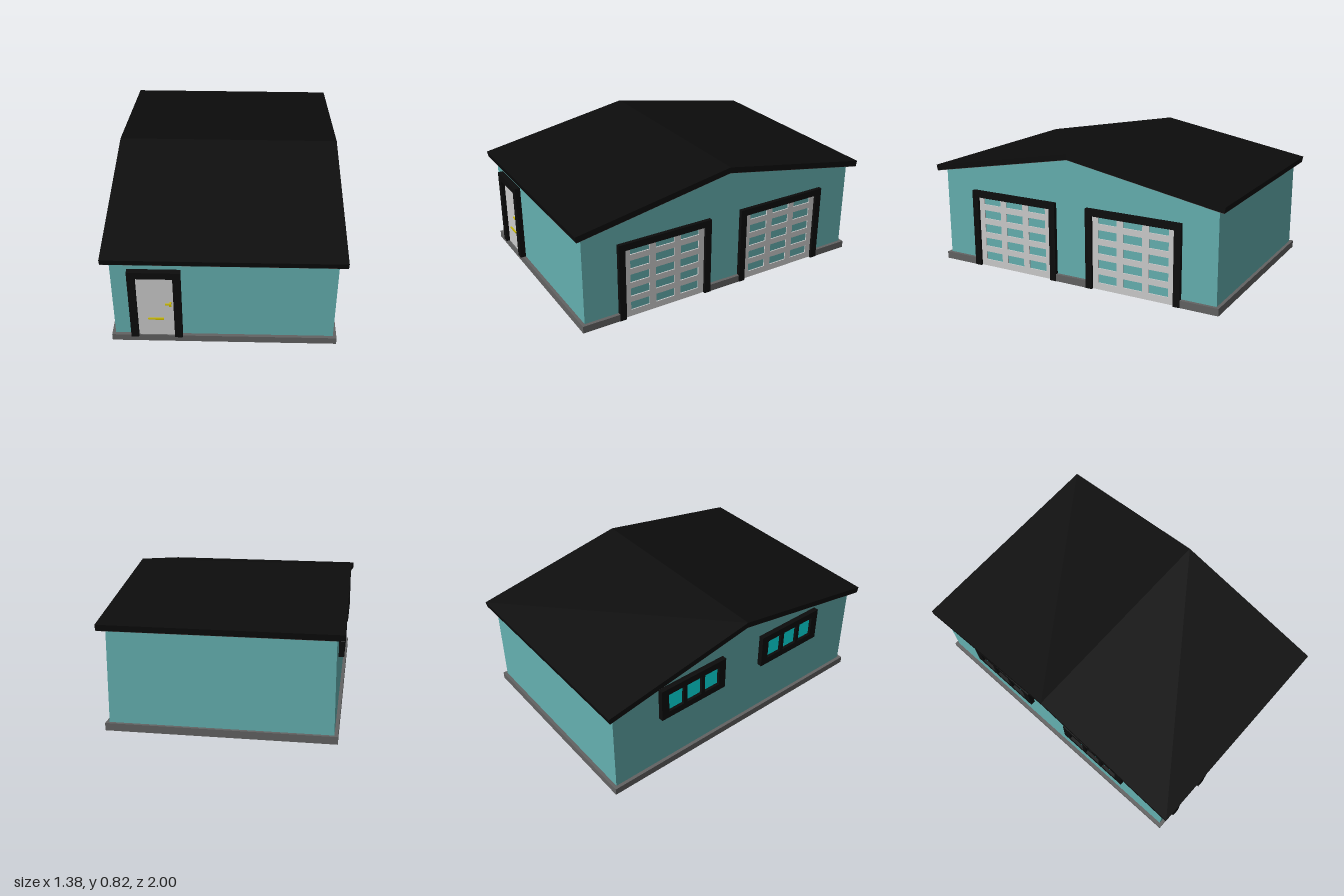
import * as THREE from 'three';

const mat = (color) => new THREE.MeshStandardMaterial({ color });
const M = {
  wall: mat(0x64b0b0), base: mat(0x626262), trim: mat(0x0c0c0c),
  door: mat(0xcccccc), brass: mat(0xccbb00), glass: mat(0x00f0f0),
};

function add(parent, name, geometry, material) {
  const mesh = new THREE.Mesh(geometry, material);
  mesh.name = name;
  parent.add(mesh);
  return mesh;
}

// Box given by its min and max corners
function box(parent, name, material, [x0, y0, z0], [x1, y1, z1]) {
  const g = new THREE.BoxGeometry(x1 - x0, y1 - y0, z1 - z0);
  g.translate((x0 + x1) / 2, (y0 + y1) / 2, (z0 + z1) / 2);
  return add(parent, name, g, material);
}

const polygon = (pts) => new THREE.Shape(pts.map(([x, y]) => new THREE.Vector2(x, y)));
const extrude = (shape, depth) => new THREE.ExtrudeGeometry(shape, { depth, bevelEnabled: false });
const rectPath = (x0, y0, x1, y1) =>
  new THREE.Path([[x0, y0], [x0, y1], [x1, y1], [x1, y0]].map(([x, y]) => new THREE.Vector2(x, y)));

// Profile drawn in (-z, y), extruded along x and centred
const alongX = (pts, length) => {
  const g = extrude(polygon(pts), length);
  g.translate(0, 0, -length / 2);
  return g.rotateY(Math.PI / 2);
};

// Door surround: two posts and a lintel in one piece, open at the bottom
const surround = (halfW, bottom, top, border, depth) => {
  const i = halfW - border;
  return extrude(polygon([
    [-halfW, bottom], [-i, bottom], [-i, top - border], [i, top - border],
    [i, bottom], [halfW, bottom], [halfW, top], [-halfW, top],
  ]), depth);
};

// Sectional garage door, built facing +z about its own centre line
function garageDoor() {
  const group = new THREE.Group();
  group.name = 'garageDoor';
  add(group, 'garageDoorFrame', surround(0.312, 0, 0.5, 0.042, 0.04), M.trim).position.z = -0.015;
  box(group, 'garageDoorBack', M.door, [-0.27, 0, -0.015], [0.27, 0.46, 0]);
  const face = polygon([[-0.27, 0], [0.27, 0], [0.27, 0.46], [-0.27, 0.46]]);
  for (let row = 0; row < 5; row++) {
    for (let col = -1; col <= 1; col++) {
      const x = col * 0.169, y = 0.07 + row * 0.0925;
      face.holes.push(rectPath(x - 0.063, y - 0.027, x + 0.063, Math.min(y + 0.027, 0.458)));
    }
  }
  add(group, 'garageDoorPanels', extrude(face, 0.008), M.door);
  return group;
}

// Three-pane window, built facing +z about its own centre
function sideWindow() {
  const group = new THREE.Group();
  group.name = 'sideWindow';
  const frame = polygon([[-0.24, -0.11], [0.24, -0.11], [0.24, 0.11], [-0.24, 0.11]]);
  for (let i = -1; i <= 1; i++) {
    const x = i * 0.134;
    frame.holes.push(rectPath(x - 0.055, -0.065, x + 0.055, 0.065));
    box(group, 'windowPane', M.glass, [x - 0.055, -0.065, 0], [x + 0.055, 0.065, 0.015]);
  }
  add(group, 'windowFrame', extrude(frame, 0.033), M.trim);
  return group;
}

export function createModel() {
  const house = new THREE.Group();
  house.name = 'garage';

  // Plinth, notched where the garage doors reach the ground
  const plinth = polygon([
    [-0.667, -0.97], [0.667, -0.97],
    [0.667, -0.7], [0.645, -0.7], [0.645, -0.14], [0.667, -0.14],
    [0.667, 0.14], [0.645, 0.14], [0.645, 0.7], [0.667, 0.7],
    [0.667, 0.97], [-0.667, 0.97],
  ]);
  add(house, 'plinth', extrude(plinth, 0.045).rotateX(-Math.PI / 2), M.base);

  // Walls with gable ends
  add(house, 'walls', alongX([
    [-0.95, 0.04], [0.95, 0.04], [0.95, 0.613], [0, 0.786], [-0.95, 0.613],
  ], 1.292), M.wall);

  // Pitched roof slab and the lining beneath it
  add(house, 'roof', alongX([
    [-0.993, 0.604], [0, 0.784], [0.993, 0.604], [1, 0.64], [0, 0.82], [-1, 0.64],
  ], 1.38), M.trim);
  add(house, 'soffit', alongX([
    [-0.992, 0.602], [0, 0.782], [0.992, 0.602], [0.992, 0.606], [0, 0.786], [-0.992, 0.606],
  ], 1.378), M.base);

  // Garage doors on the +x wall, windows on the -x wall
  for (const s of [-1, 1]) {
    const door = garageDoor();
    door.position.set(0.645, 0, s * 0.42);
    door.rotation.y = Math.PI / 2;
    house.add(door);

    const win = sideWindow();
    win.position.set(-0.645, 0.51, s * 0.39);
    win.rotation.y = -Math.PI / 2;
    house.add(win);
  }

  // Entrance door with handle, lock and letter slot
  const entrance = new THREE.Group();
  entrance.name = 'entrance';
  entrance.position.set(-0.397, 0, 0.95);
  add(entrance, 'entranceFrame', surround(0.152, 0.045, 0.54, 0.045, 0.035), M.trim);
  box(entrance, 'entranceDoor', M.door, [-0.107, 0.045, -0.01], [0.107, 0.495, 0.012]);
  box(entrance, 'handleStem', M.brass, [0.083, 0.295, 0.012], [0.093, 0.305, 0.03]);
  box(entrance, 'handleLever', M.brass, [0.058, 0.295, 0.024], [0.093, 0.305, 0.032]);
  box(entrance, 'lock', M.brass, [0.08, 0.273, 0.012], [0.093, 0.284, 0.02]);
  box(entrance, 'letterSlot', M.brass, [-0.047, 0.17, 0.012], [0.045, 0.18, 0.02]);
  house.add(entrance);

  return house;
}
